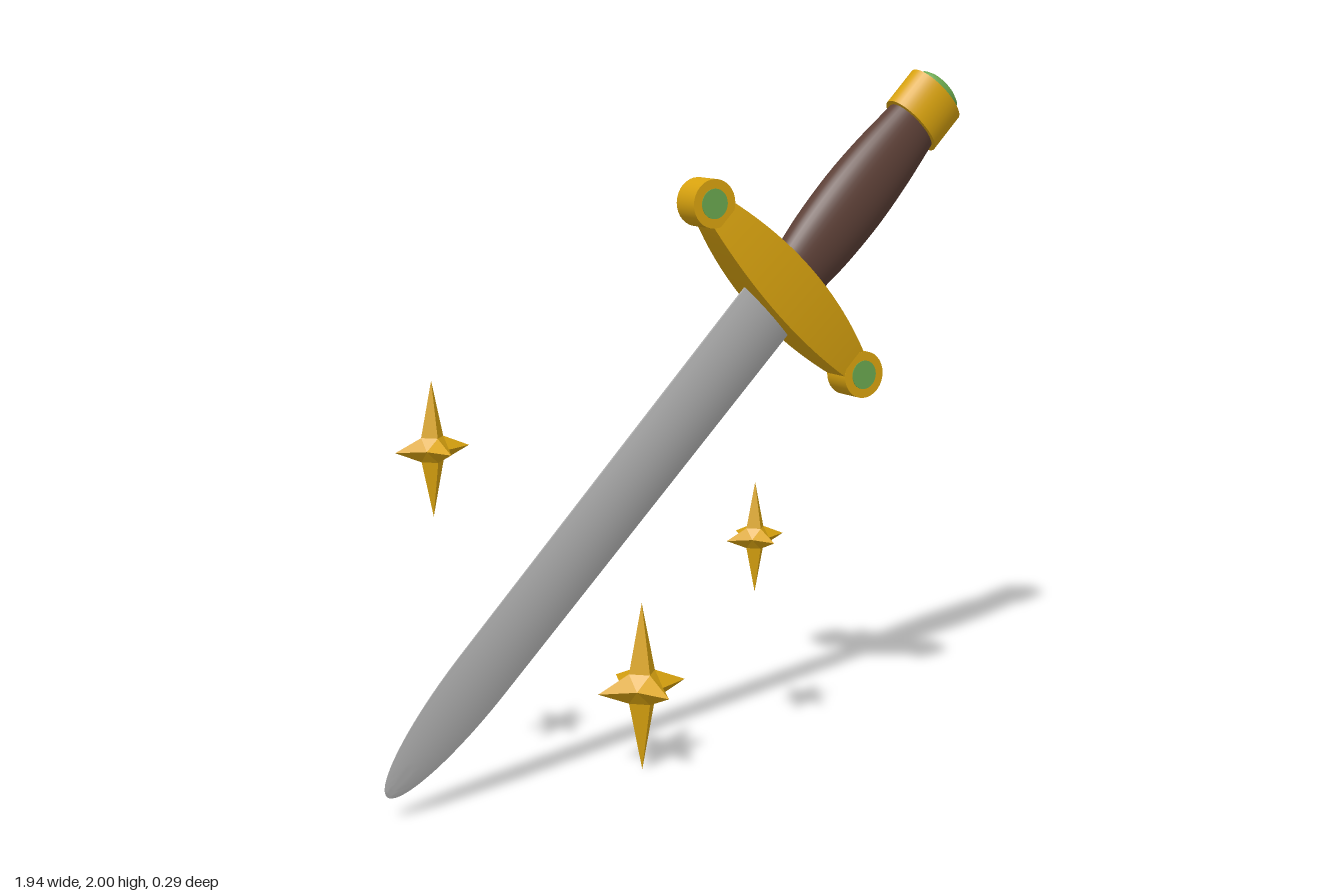
import * as THREE from 'three';
import { toCreasedNormals } from 'three/addons/utils/BufferGeometryUtils.js';

function material(name, color, flat = false) {
  const m = new THREE.MeshStandardMaterial({ color, flatShading: flat });
  m.name = name;
  return m;
}

function add(parent, name, geometry, mat) {
  const mesh = new THREE.Mesh(geometry, mat);
  mesh.name = name;
  parent.add(mesh);
  return mesh;
}

// Move every vertex of a geometry by a rule, then keep its edges crisp
function warp(geometry, rule) {
  const p = geometry.attributes.position;
  const v = new THREE.Vector3();
  for (let i = 0; i < p.count; i++) {
    rule(v.fromBufferAttribute(p, i));
    p.setXYZ(i, v.x, v.y, v.z);
  }
  return toCreasedNormals(geometry, 0.6);
}

// Six-pointed spike star: four faces per octant, mirrored into all eight
function starGeometry(r, height) {
  const n = r * 0.3;
  const X = [r, 0, 0], Y = [0, height, 0], Z = [0, 0, r];
  const XY = [n, n, 0], YZ = [0, n, n], ZX = [n, 0, n];
  const faces = [[X, XY, ZX], [Y, YZ, XY], [Z, ZX, YZ], [XY, YZ, ZX]];
  const points = [];
  for (const sx of [1, -1]) for (const sy of [1, -1]) for (const sz of [1, -1]) {
    for (const [a, b, c] of faces) {
      const order = sx * sy * sz > 0 ? [a, b, c] : [a, c, b];
      for (const q of order) points.push(q[0] * sx, q[1] * sy, q[2] * sz);
    }
  }
  const g = new THREE.BufferGeometry();
  g.setAttribute('position', new THREE.Float32BufferAttribute(points, 3));
  g.computeVertexNormals();
  return g;
}

export function createModel() {
  const model = new THREE.Group();
  model.name = 'dagger with sparkles';
  const gold = material('gold', 0xd9a30f);
  const steel = material('steel', 0xa9a9a9);
  const leather = material('brown leather', 0x5d4037);
  const green = material('green gem', 0x6aa84f);

  // Dagger is built upright around the guard centre, then tilted
  const dagger = new THREE.Group();
  dagger.name = 'dagger';
  dagger.position.set(0.333, 1.372, 0);
  dagger.rotation.z = -Math.PI / 4;
  model.add(dagger);

  // Blade: lens section, elliptical tip, rows packed toward the tip
  const length = 1.84;
  add(dagger, 'blade', warp(new THREE.BoxGeometry(2, 1, 2, 12, 36, 1), (v) => {
    const s = length * (v.y + 0.5) ** 2;
    const k = Math.min(1, s / 0.42);
    const tip = Math.sqrt(1 - (1 - k) ** 2);
    const thick = (0.01 + 0.013 * Math.min(1, s / 1.2)) * tip;
    v.z *= thick * (1 - 0.85 * v.x * v.x);
    v.x *= (0.09 + 0.017 * s / length) * tip;
    v.y = s - length;
  }), steel);

  // Crossguard: swells toward the middle in height and depth
  add(dagger, 'crossguard', warp(new THREE.BoxGeometry(0.7, 2, 2, 20, 1, 1), (v) => {
    const bulge = 1 - (v.x / 0.35) ** 2;
    v.y *= 0.044 + 0.042 * bulge;
    v.z *= 0.04 + 0.027 * bulge;
  }), gold);

  // Round guard ends with a gem on both faces
  for (const side of [1, -1]) {
    const end = new THREE.Group();
    end.name = side > 0 ? 'guardEndLower' : 'guardEndUpper';
    end.position.x = side * 0.378;
    end.rotation.x = Math.PI / 2;
    dagger.add(end);
    add(end, 'guardKnob', new THREE.CylinderGeometry(0.07, 0.07, 0.09, 32), gold);
    for (const face of [1, -1]) {
      add(end, 'guardGem', new THREE.CylinderGeometry(0.043, 0.043, 0.004, 32), green)
        .position.y = face * 0.045;
    }
  }

  // Oval grip with a gentle belly
  const gripProfile = [[0.088, 0], [0.098, 0.08], [0.111, 0.2], [0.116, 0.35],
    [0.109, 0.5], [0.092, 0.66]].map(([r, y]) => new THREE.Vector2(r, y));
  const gripCurve = new THREE.SplineCurve(gripProfile).getPoints(20);
  add(dagger, 'grip', new THREE.LatheGeometry(gripCurve, 40), leather).scale.z = 0.63;

  // Oval pommel collar
  const pommel = add(dagger, 'pommel', new THREE.CylinderGeometry(0.107, 0.107, 0.128, 40), gold);
  pommel.position.y = 0.719;
  pommel.scale.z = 0.66;

  // Low domed gem on the pommel
  const gemProfile = [[0.084, 0.77], [0.084, 0.79], [0.078, 0.804], [0.062, 0.813],
    [0.035, 0.818], [0, 0.82]].map(([r, y]) => new THREE.Vector2(r, y));
  add(dagger, 'pommelGem', new THREE.LatheGeometry(gemProfile, 40), green).scale.z = 0.69;

  // Floating sparkles: x, y, radius, half height
  const sparkles = [[-0.81, 1.02, 0.11, 0.186], [-0.153, 0.25, 0.147, 0.25],
    [0.24, 0.645, 0.1, 0.166]];
  for (const [x, y, r, h] of sparkles) {
    add(model, 'sparkle', starGeometry(r, h), gold).position.set(x, y, 0);
  }
  return model;
}
